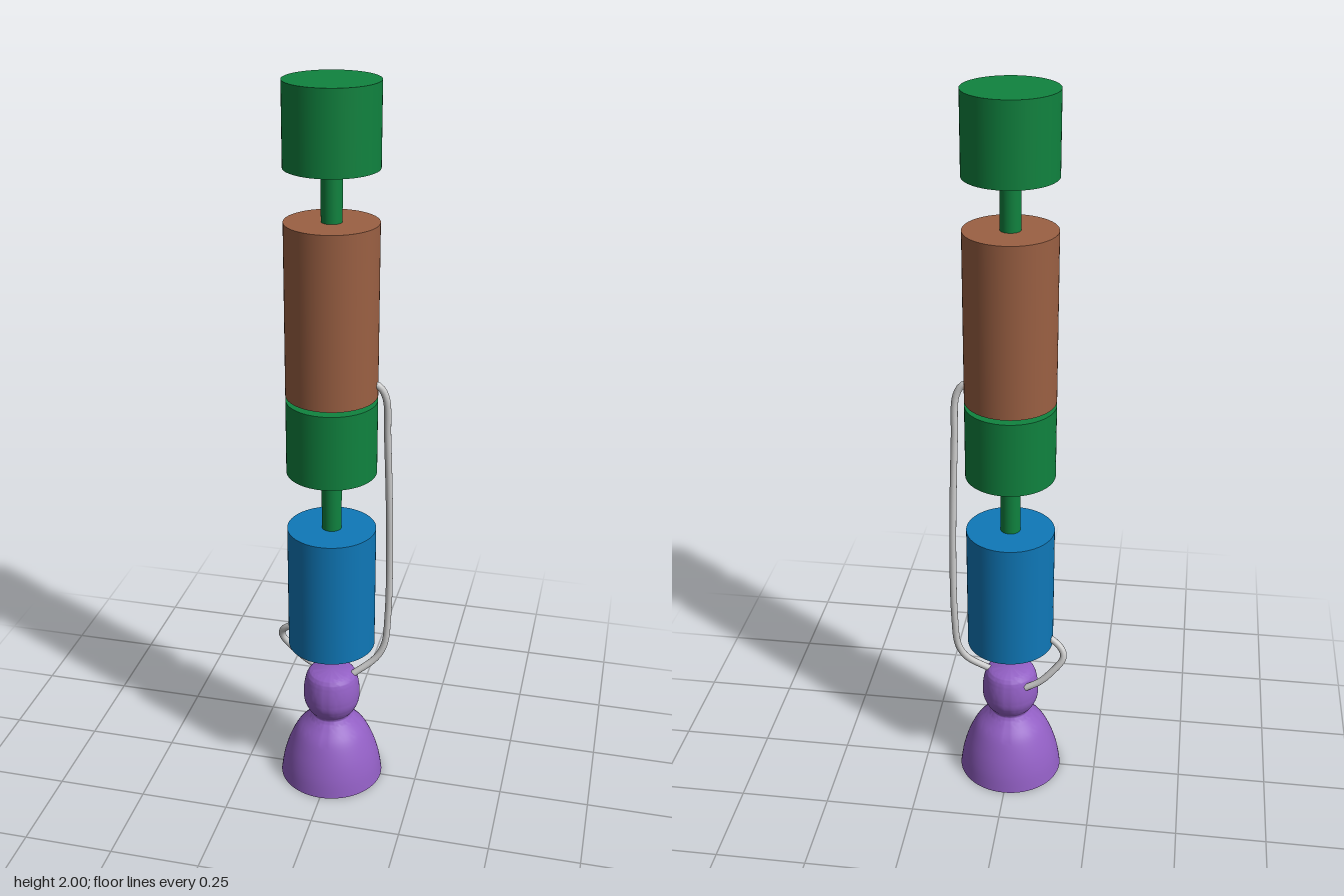
import * as THREE from 'three';
import { toCreasedNormals } from 'three/addons/utils/BufferGeometryUtils.js';

const material = (color) => new THREE.MeshStandardMaterial({ color });
const GREEN = material(0x10833f);
const BROWN = material(0x9b6043);
const BLUE = material(0x0f78b8);
const PURPLE = material(0x925fc4);
const GREY = material(0xcccccc);

const BODY_RADIUS = 0.121;
const ROD_RADIUS = 0.027;

function add(parent, name, geometry, mat) {
  const mesh = new THREE.Mesh(geometry, mat);
  mesh.name = name;
  parent.add(mesh);
  return mesh;
}

// Upright cylinder between two heights
function cylinder(parent, name, radius, bottom, top, mat) {
  const geometry = new THREE.CylinderGeometry(radius, radius, top - bottom, 64);
  add(parent, name, geometry, mat).position.y = (bottom + top) / 2;
}

// Piston head with a thin rod reaching down to the tank below
function piston(parent, name, tankTop, headBottom, headTop) {
  const group = new THREE.Group();
  group.name = name;
  cylinder(group, 'pistonHead', BODY_RADIUS, headBottom, headTop, GREEN);
  cylinder(group, 'pistonRod', ROD_RADIUS, tankTop - 0.005, headBottom + 0.005, GREEN);
  parent.add(group);
}

// Round pipe through a list of points
function pipe(parent, name, points) {
  const curve = new THREE.CatmullRomCurve3(points.map((p) => new THREE.Vector3(...p)));
  add(parent, name, new THREE.TubeGeometry(curve, 80, 0.0095, 14), GREY);
}

// Smooth profile through [radius, height] pairs
function smoothProfile(pairs, divisions) {
  return new THREE.SplineCurve(pairs.map((p) => new THREE.Vector2(...p))).getPoints(divisions);
}

// Hollow engine: bell, throat and rounded chamber, with wall thickness
function engineGeometry() {
  const outer = smoothProfile([
    [0.147, 0], [0.139, 0.05], [0.124, 0.1], [0.1, 0.15], [0.07, 0.184],
    [0.056, 0.203], [0.068, 0.222], [0.079, 0.25], [0.08, 0.285],
    [0.074, 0.32], [0.066, 0.338], [0.053, 0.346],
  ], 48);
  const inner = smoothProfile([
    [0.042, 0.334], [0.064, 0.31], [0.068, 0.265], [0.056, 0.226],
    [0.044, 0.203], [0.06, 0.175], [0.09, 0.14], [0.112, 0.095],
    [0.126, 0.05], [0.134, 0],
  ], 40);
  const profile = [new THREE.Vector2(0, 0.334), ...inner, ...outer, new THREE.Vector2(0, 0.346)];
  return toCreasedNormals(new THREE.LatheGeometry(profile, 64), 0.7);
}

export function createModel() {
  const model = new THREE.Group();
  model.name = 'pistonEngineStack';

  // Tanks
  cylinder(model, 'upperTank', BODY_RADIUS, 1.195, 1.655, BROWN);
  cylinder(model, 'lowerTank', BODY_RADIUS, 0.44, 0.805, BLUE);

  // Pistons
  piston(model, 'upperPiston', 1.655, 1.79, 2);
  piston(model, 'lowerPiston', 0.805, 0.975, 1.182);

  add(model, 'engine', engineGeometry(), PURPLE);

  // Feed lines from each tank to the engine
  pipe(model, 'longFeedLine', [
    [0.1, 1.235, 0], [0.125, 1.23, 0], [0.143, 1.2, -0.003], [0.148, 1.08, -0.012],
    [0.155, 0.75, -0.033], [0.153, 0.52, -0.037], [0.145, 0.43, -0.033],
    [0.122, 0.385, -0.025], [0.06, 0.335, -0.004],
  ]);
  pipe(model, 'shortFeedLine', [
    [-0.1, 0.468, -0.014], [-0.122, 0.462, -0.019], [-0.151, 0.437, -0.03],
    [-0.154, 0.413, -0.037], [-0.118, 0.364, -0.047], [-0.088, 0.335, -0.051],
    [-0.05, 0.312, -0.052],
  ]);

  return model;
}
